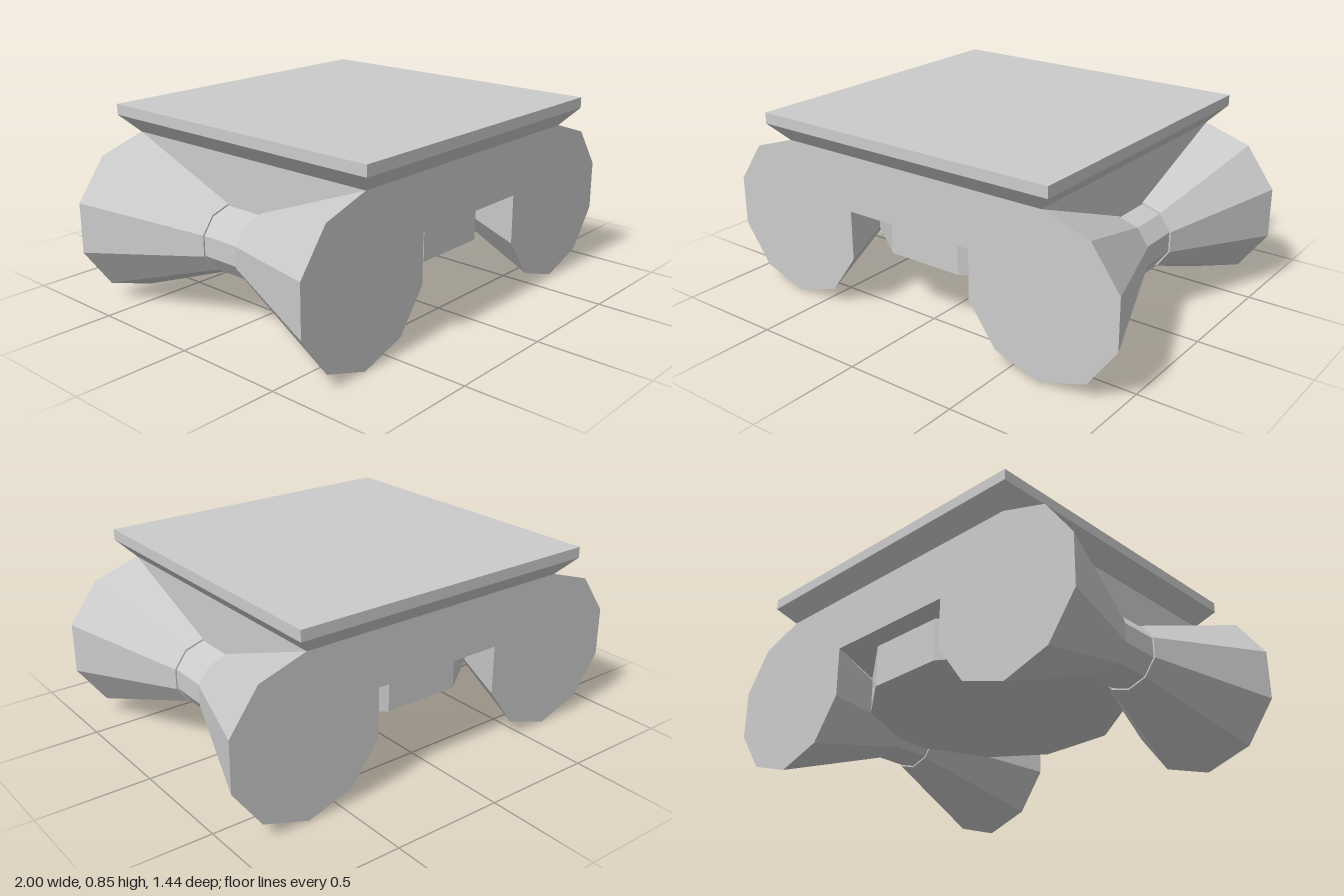
import * as THREE from 'three';

const material = new THREE.MeshStandardMaterial({ color: 0xcccccc, flatShading: true });

function addPart(group, name, geometry, x, y, z) {
  const mesh = new THREE.Mesh(geometry, material);
  mesh.name = name;
  mesh.position.set(x, y, z);
  group.add(mesh);
  return mesh;
}

export function createModel() {
  const group = new THREE.Group();
  group.name = 'columnCapital';

  // Ten-sided scroll bolsters, pinched to a narrow band at the waist
  const profile = [
    [0, -0.652], [0.36, -0.652], [0.147, -0.096], [0.14, -0.096],
    [0.14, 0.096], [0.147, 0.096], [0.36, 0.652], [0, 0.652],
  ].map(([r, y]) => new THREE.Vector2(r, y));
  for (const side of [1, -1]) {
    const bolster = addPart(group, side > 0 ? 'leftBolster' : 'rightBolster',
      new THREE.LatheGeometry(profile, 10), side * 0.658, 0.36, 0);
    bolster.rotation.x = Math.PI / 2;
  }

  // Block bridging the two bolsters
  addPart(group, 'bridgeBlock', new THREE.BoxGeometry(1.316, 0.25, 1.304), 0, 0.595, 0);

  // Ten-sided neck of the column under the block, flat side to the front
  const neck = new THREE.CylinderGeometry(0.58, 0.58, 0.24, 10);
  neck.rotateY(Math.PI / 2);
  addPart(group, 'neckDrum', neck, 0, 0.40, 0);

  // Square top slab: bevelled underside and straight rim
  const bevel = new THREE.BoxGeometry(1.46, 0.077, 1.436);
  const p = bevel.attributes.position;
  for (let i = 0; i < p.count; i++) {
    if (p.getY(i) < 0) p.setXYZ(i, Math.sign(p.getX(i)) * 0.658, p.getY(i), Math.sign(p.getZ(i)) * 0.652);
  }
  bevel.computeVertexNormals();
  addPart(group, 'slabBevel', bevel, 0, 0.7585, 0);
  addPart(group, 'slabRim', new THREE.BoxGeometry(1.46, 0.048, 1.436), 0, 0.821, 0);

  return group;
}
